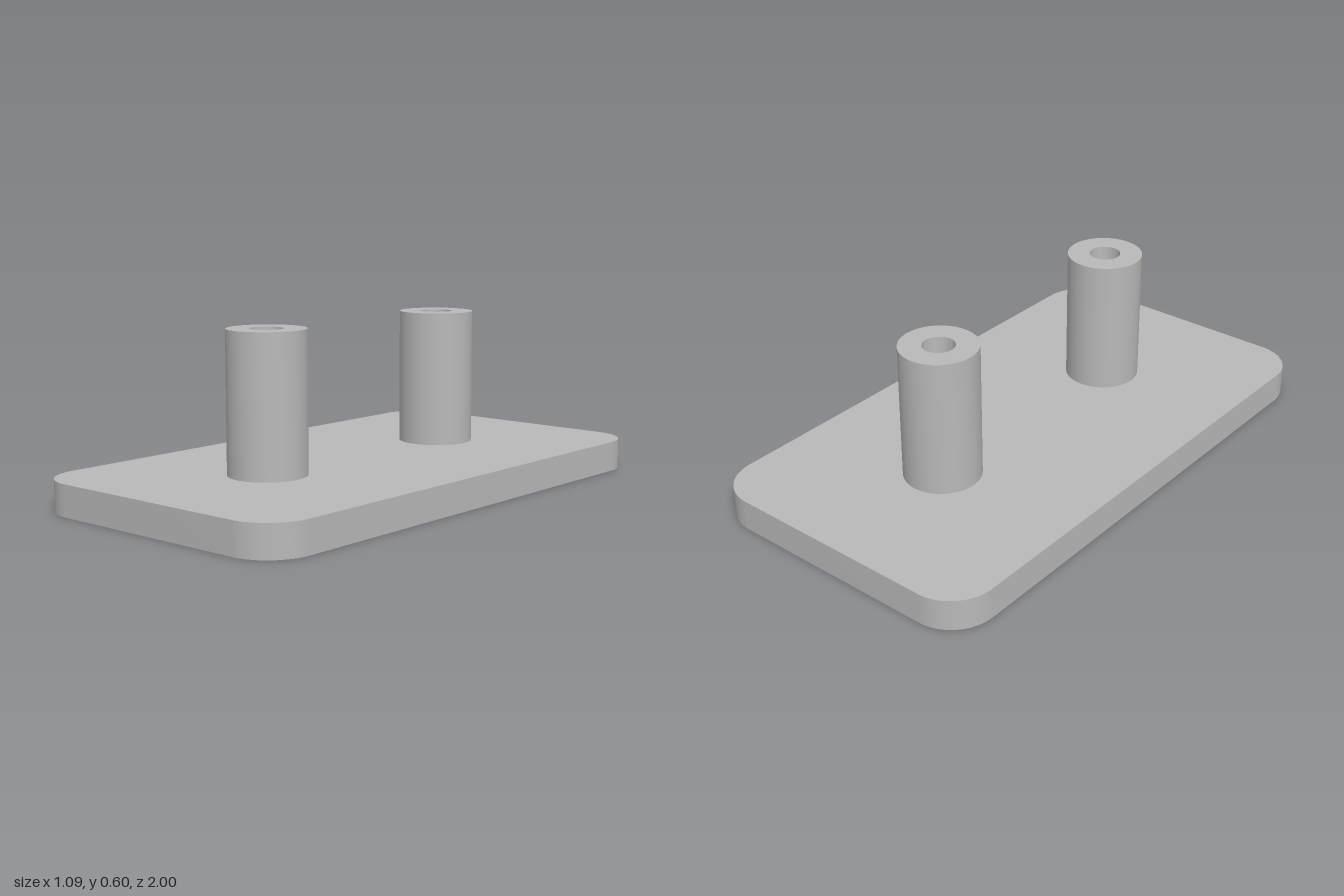
import * as THREE from 'three';
import { toCreasedNormals } from 'three/addons/utils/BufferGeometryUtils.js';

const HALF_W = 0.545, HALF_L = 1, THICK = 0.11, CORNER = 0.16;
const POST_R = 0.136, POST_TOP = 0.6, POST_Z = 0.455;
const BORE_TOP_R = 0.056, BORE_BOTTOM_R = 0.047;

// Flat plate with rounded corners, lying on y = 0
function plateGeometry() {
  const s = new THREE.Shape();
  const w = HALF_W - CORNER, l = HALF_L - CORNER;
  s.absarc(w, l, CORNER, 0, Math.PI / 2);
  s.absarc(-w, l, CORNER, Math.PI / 2, Math.PI);
  s.absarc(-w, -l, CORNER, Math.PI, Math.PI * 1.5);
  s.absarc(w, -l, CORNER, Math.PI * 1.5, Math.PI * 2);
  const g = new THREE.ExtrudeGeometry(s, { depth: THICK, bevelEnabled: false, curveSegments: 16 });
  g.rotateX(-Math.PI / 2);
  return toCreasedNormals(g, 0.5);
}

// Round post with a slightly tapered blind bore from the top
function postGeometry() {
  const profile = [
    [POST_R, THICK],
    [POST_R, POST_TOP],
    [BORE_TOP_R, POST_TOP],
    [BORE_BOTTOM_R, THICK],
    [0, THICK],
  ].map(([r, y]) => new THREE.Vector2(r, y));
  return toCreasedNormals(new THREE.LatheGeometry(profile, 64), 0.5);
}

export function createModel() {
  const group = new THREE.Group();
  group.name = 'mountingPlate';
  const grey = new THREE.MeshStandardMaterial({ color: 0xb8b8b8 });
  grey.name = 'grey';

  const plate = new THREE.Mesh(plateGeometry(), grey);
  plate.name = 'basePlate';
  group.add(plate);

  // Two matching posts, front and back
  const post = postGeometry();
  for (const [name, side] of [['frontPost', 1], ['backPost', -1]]) {
    const mesh = new THREE.Mesh(post, grey);
    mesh.name = name;
    mesh.position.z = side * POST_Z;
    group.add(mesh);
  }
  return group;
}
